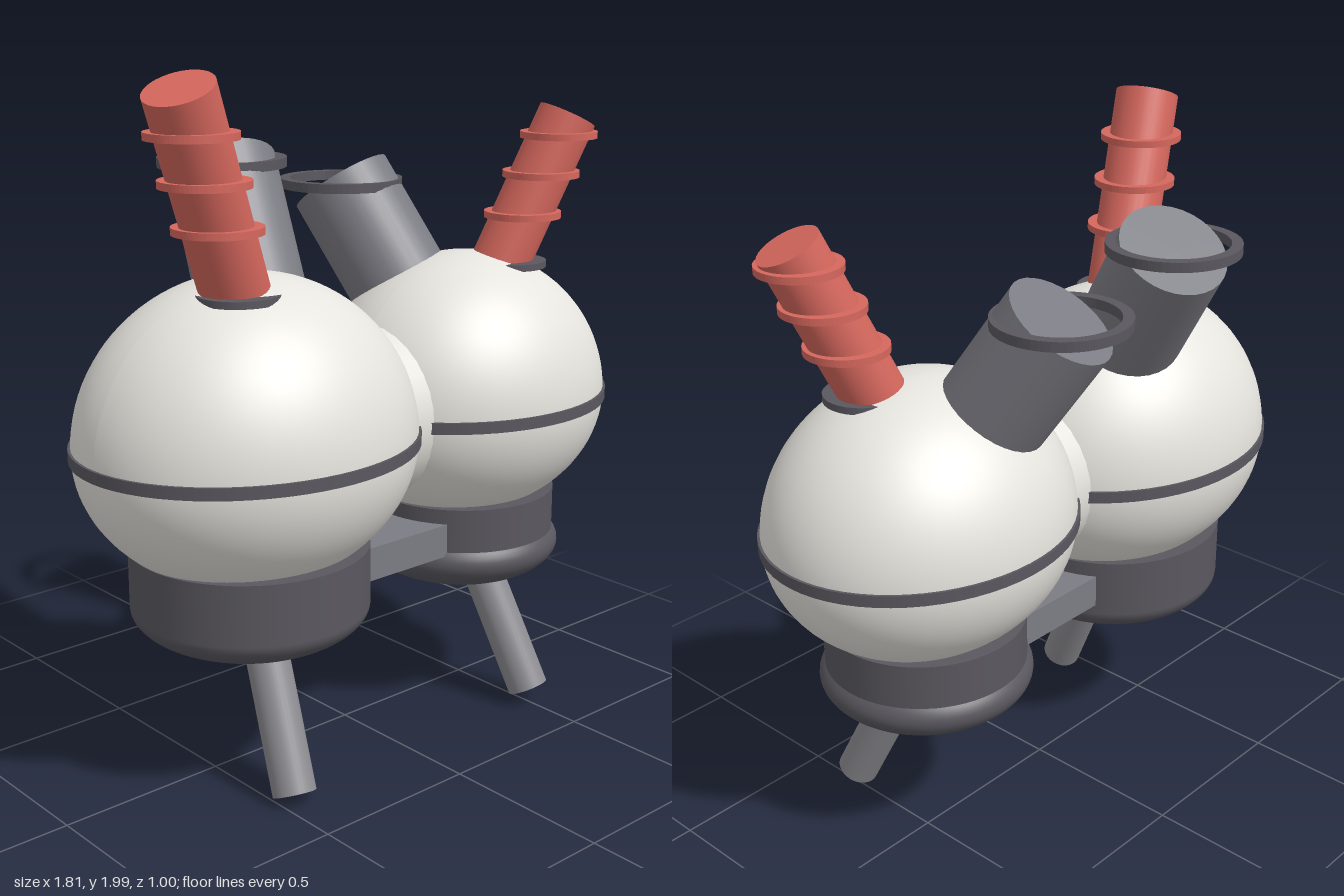
import * as THREE from 'three';

const V = (x, y, z) => new THREE.Vector3(x, y, z);
const paint = (color) => new THREE.MeshStandardMaterial({ color });

export function createModel() {
  const model = new THREE.Group();
  const shell = paint(0xe6e4de), dark = paint(0x5a585f), grey = paint(0x7c7c84);
  const steel = paint(0x8c8c91), red = paint(0xd5675d);

  function add(parent, name, geometry, material, position = V(0, 0, 0)) {
    const mesh = new THREE.Mesh(geometry, material);
    mesh.name = name;
    mesh.position.copy(position);
    parent.add(mesh);
    return mesh;
  }

  // Cylinder running between two points
  function rod(parent, name, from, to, radius, material) {
    const axis = to.clone().sub(from);
    const geometry = new THREE.CylinderGeometry(radius, radius, axis.length(), 32);
    const mesh = add(parent, name, geometry, material, from.clone().lerp(to, 0.5));
    mesh.quaternion.setFromUnitVectors(V(0, 1, 0), axis.normalize());
    return mesh;
  }

  // Flat ring lying level, with square edges
  function flatRing(inner, outer, height) {
    const h = height / 2;
    const shape = new THREE.Shape().absarc(0, 0, outer, 0, Math.PI * 2);
    shape.holes.push(new THREE.Path().absarc(0, 0, inner, 0, Math.PI * 2, true));
    return new THREE.ExtrudeGeometry(shape, { depth: height, bevelEnabled: false, curveSegments: 32 })
      .translate(0, 0, -h).rotateX(-Math.PI / 2);
  }

  // Ellipsoid whose lower half is slightly squashed
  function bulb(rx, ry, rz) {
    const geometry = new THREE.SphereGeometry(1, 64, 48).scale(rx, ry, rz);
    const p = geometry.attributes.position;
    for (let i = 0; i < p.count; i++) if (p.getY(i) < 0) p.setY(i, p.getY(i) * 0.85);
    geometry.computeVertexNormals();
    return geometry;
  }

  const Z = 0.05, MID = 0.98;
  const pods = [
    {
      name: 'rightPod', x: -0.4, size: [0.5, 0.47, 0.44], base: 0.34, bowl: 0.34,
      foot: V(-0.458, 0.028, 0.31), hip: V(-0.405, 0.5, 0.09),
      pipeEnd: V(-0.2, 1.69, -0.31), pipeAxis: V(0.21, 1, -0.65), pipeRadius: 0.157, rimY: 1.7,
      hornBase: V(-0.46, 1.37, 0.1), hornTip: V(-0.707, 1.957, 0.197), hornRadius: 0.095,
      hornRings: [1.84, 1.715, 1.59], collar: V(-0.485, 1.405, 0.13),
    },
    {
      name: 'leftPod', x: 0.433, size: [0.465, 0.435, 0.41], base: 0.292, bowl: 0.31,
      foot: V(0.495, 0.053, 0.31), hip: V(0.447, 0.5, 0.09),
      pipeEnd: V(0.248, 1.605, -0.3), pipeAxis: V(-0.24, 1, -0.64), pipeRadius: 0.157, rimY: 1.605,
      hornBase: V(0.52, 1.34, 0.1), hornTip: V(0.725, 1.812, 0.19), hornRadius: 0.089,
      hornRings: [1.755, 1.64, 1.52], collar: V(0.55, 1.375, 0.125),
    },
  ];

  for (const pod of pods) {
    const g = new THREE.Group();
    g.name = pod.name;
    model.add(g);
    const [rx, ry, rz] = pod.size;

    // Body and waist band
    add(g, 'body', bulb(rx, ry, rz), shell, V(pod.x, MID, Z));
    const band = new THREE.CylinderGeometry(1, 1, 0.034, 64).scale(rx + 0.007, 1, rz + 0.007);
    add(g, 'waistBand', band, dark, V(pod.x, MID, Z));

    // Base drum with a rounded underside
    add(g, 'baseDrum', new THREE.CylinderGeometry(pod.base, pod.base, 0.175, 64), dark, V(pod.x, 0.5975, Z));
    add(g, 'baseBowl', new THREE.SphereGeometry(1, 64, 32).scale(pod.bowl, 0.125, pod.bowl), dark, V(pod.x, 0.51, Z));

    // Slanted leg
    rod(g, 'leg', pod.foot, pod.hip, 0.062, steel);

    // Rear pipe with a level rim ring
    const pipeStart = pod.pipeEnd.clone().addScaledVector(pod.pipeAxis, -0.5);
    rod(g, 'rearPipe', pipeStart, pod.pipeEnd, pod.pipeRadius, grey);
    add(g, 'pipeRim', flatRing(0.157, 0.188, 0.028), dark, V(pod.pipeEnd.x, pod.rimY, pod.pipeEnd.z));

    // Horn with level rings and a collar at its root
    rod(g, 'horn', pod.hornBase, pod.hornTip, pod.hornRadius, red);
    for (const y of pod.hornRings) {
      const t = (y - pod.hornBase.y) / (pod.hornTip.y - pod.hornBase.y);
      const centre = pod.hornBase.clone().lerp(pod.hornTip, t);
      add(g, 'hornRing', flatRing(0.085, pod.hornRadius + 0.027, 0.02), red, centre);
    }
    add(g, 'hornCollar', new THREE.CylinderGeometry(0.115, 0.115, 0.02, 32), dark, pod.collar);
  }

  // Neck joining the bodies and bar joining the bases
  const neck = new THREE.CylinderGeometry(0.255, 0.255, 0.26, 32).rotateZ(Math.PI / 2);
  add(model, 'neck', neck, shell, V(0.04, 0.985, Z));
  add(model, 'baseBar', new THREE.BoxGeometry(0.46, 0.1, 0.36), grey, V(0.04, 0.59, Z));

  return model;
}
